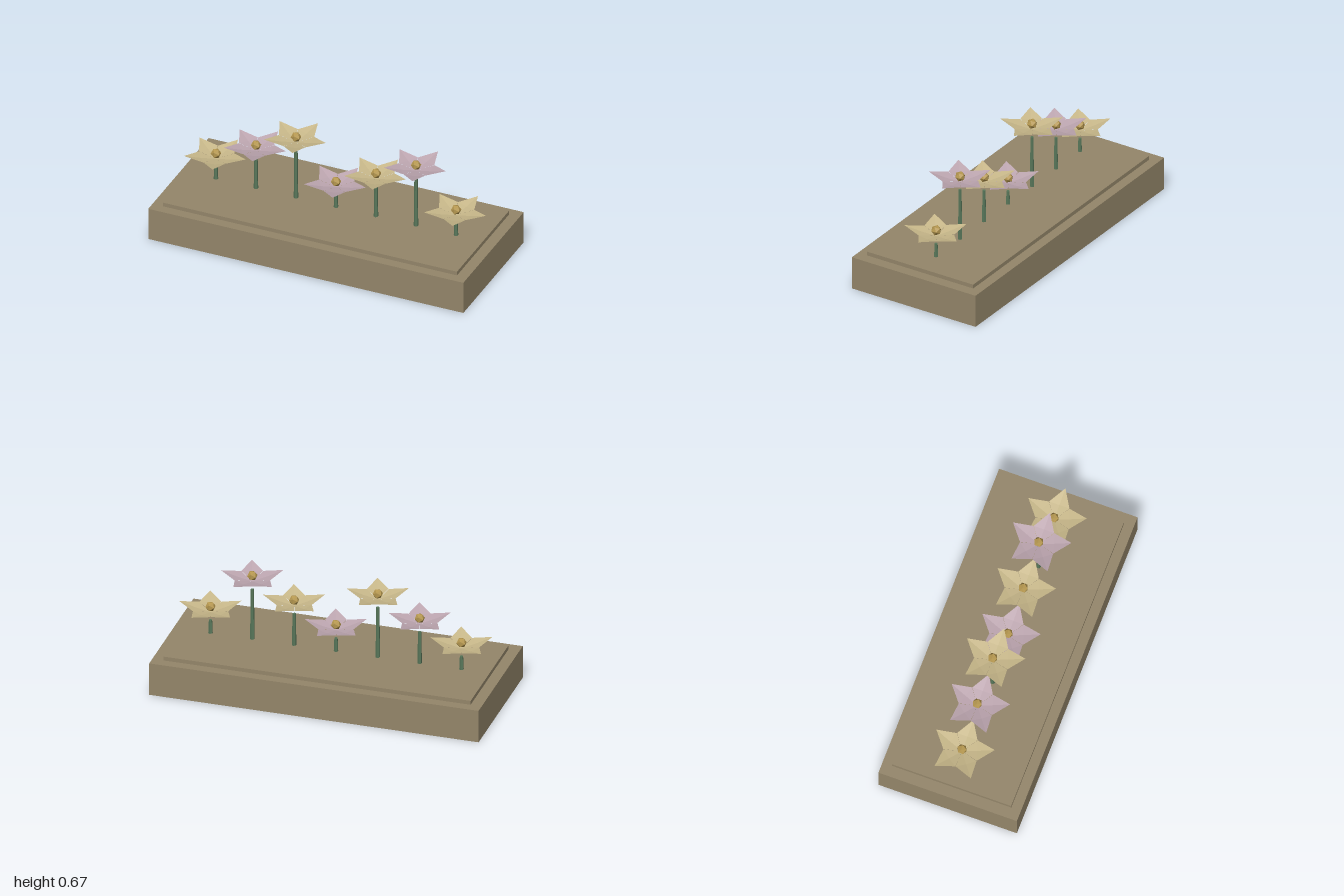
import * as THREE from 'three';

const mat = (name, color, side = THREE.FrontSide) => {
  const m = new THREE.MeshStandardMaterial({ color, flatShading: true, side });
  m.name = name;
  return m;
};

// One folded, upturned petal pointing along +x, as two mirrored halves
function petalGeometry() {
  const base = [0, 0, 0], mid = [0.09, 0.017, 0], tip = [0.19, 0.043, 0];
  const left = [0.088, 0.023, -0.063], right = [0.088, 0.023, 0.063];
  const faces = [base, mid, left, mid, tip, left, base, right, mid, mid, right, tip];
  const g = new THREE.BufferGeometry();
  g.setAttribute('position', new THREE.Float32BufferAttribute(faces.flat(), 3));
  g.computeVertexNormals();
  return g;
}

export function createModel() {
  const model = new THREE.Group();
  model.name = 'flowerBed';

  const earth = mat('earth brown', 0x94866a);
  const green = mat('stem green', 0x58775a);
  const gold = mat('centre gold', 0xb5974f);
  const cream = mat('cream petal', 0xc8b88a, THREE.DoubleSide);
  const mauve = mat('mauve petal', 0xbda6b0, THREE.DoubleSide);

  const add = (parent, name, geometry, material, x, y, z) => {
    const mesh = new THREE.Mesh(geometry, material);
    mesh.name = name;
    mesh.position.set(x, y, z);
    parent.add(mesh);
    return mesh;
  };

  // Planter block and raised soil slab
  add(model, 'planter', new THREE.BoxGeometry(2, 0.205, 0.856), earth, 0, 0.1025, 0);
  add(model, 'soil', new THREE.BoxGeometry(1.866, 0.025, 0.736), earth, 0, 0.2175, 0);

  const petal = petalGeometry();
  const heart = new THREE.IcosahedronGeometry(0.031, 0);
  const soilTop = 0.23;

  // Row of seven flowers in three repeating heights and two alternating colours
  for (let i = 0; i < 7; i++) {
    const flower = new THREE.Group();
    flower.name = 'flower' + (i + 1);
    flower.position.x = (i - 3) * 0.254;
    model.add(flower);

    const rise = (i % 3) * 0.12;
    const stemHeight = 0.085 + rise;
    add(flower, 'stem', new THREE.CylinderGeometry(0.01, 0.0135, stemHeight, 6),
      green, 0, soilTop + stemHeight / 2, 0);

    // Blossom floats just above its stem
    const blossom = new THREE.Group();
    blossom.name = 'blossom';
    blossom.position.y = 0.365 + rise;
    flower.add(blossom);
    for (let k = 0; k < 5; k++) {
      const p = add(blossom, 'petal', petal, i % 2 ? mauve : cream, 0, 0, 0);
      p.rotation.y = (k * Math.PI * 2) / 5;
    }
    add(blossom, 'flowerCentre', heart, gold, 0, 0.037, 0);
  }
  return model;
}
